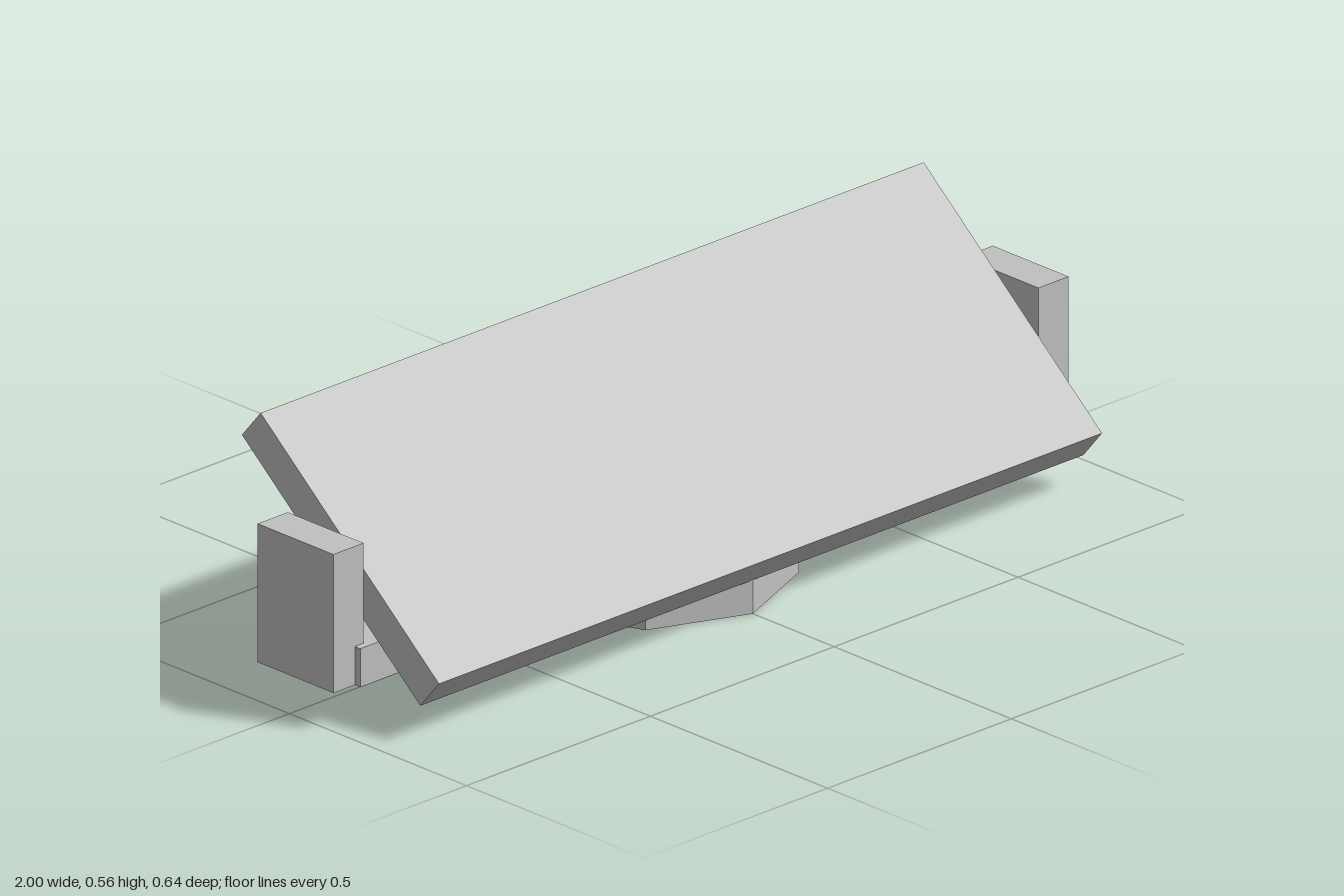
import * as THREE from 'three';

export function createModel() {
  const model = new THREE.Group();
  const grey = new THREE.MeshStandardMaterial({ color: 0xc0c0c0, flatShading: true });
  grey.name = 'light grey';

  const add = (name, geometry, x, y, z) => {
    const mesh = new THREE.Mesh(geometry, grey);
    mesh.name = name;
    mesh.position.set(x, y, z);
    model.add(mesh);
    return mesh;
  };

  // Octagonal foot, with a corner pointing to the front
  add('base', new THREE.CylinderGeometry(0.295, 0.295, 0.082, 8), 0, 0.041, -0.024);

  // Crossbar resting on the foot
  add('crossbar', new THREE.BoxGeometry(1.884, 0.082, 0.245), 0, 0.123, 0.0175);

  // Upright post at each end of the crossbar
  for (const [side, name] of [[1, 'leftPost'], [-1, 'rightPost']]) {
    add(name, new THREE.BoxGeometry(0.082, 0.295, 0.214), side * 0.959, 0.2295, 0.0175);
  }

  // Panel tilted back between the posts
  const panel = add('tiltedPanel', new THREE.BoxGeometry(1.804, 0.082, 0.657), 0, 0.3125, 0.0425);
  panel.rotation.x = THREE.MathUtils.degToRad(40);

  return model;
}
